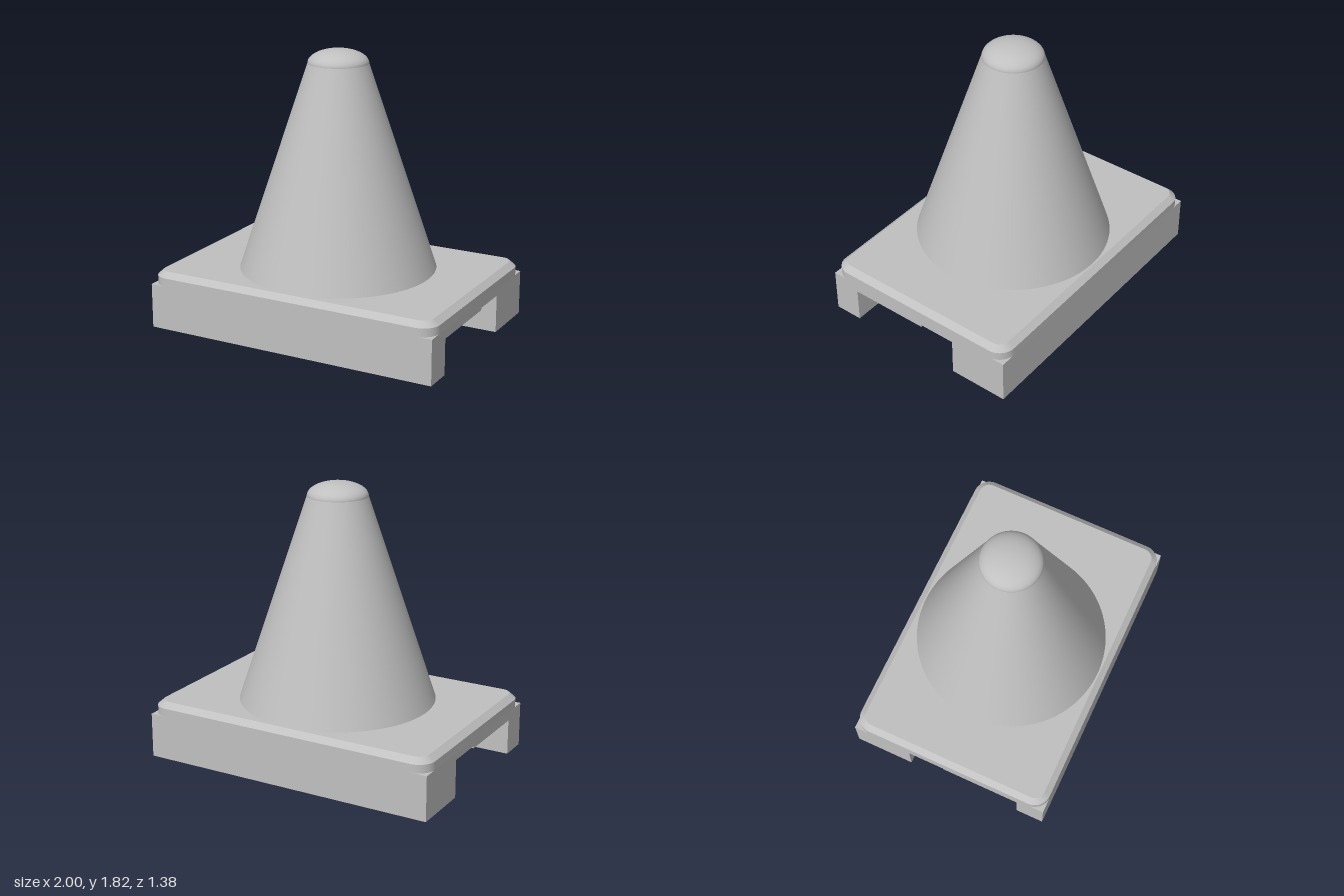
import * as THREE from 'three';
import { toCreasedNormals } from 'three/addons/utils/BufferGeometryUtils.js';

const HALF_X = 1, HALF_Z = 0.69, CORNER = 0.11;
const BLOCK_TOP = 0.295, SLAB_TOP = 0.385;

// Points of a rounded rectangle at height y, pulled in by inset
function roundedRing(y, inset, steps = 12) {
  const r = CORNER - inset, points = [];
  const corners = [[1, 1], [-1, 1], [-1, -1], [1, -1]];
  corners.forEach(([sx, sz], q) => {
    for (let i = 0; i <= steps; i++) {
      const a = (q + i / steps) * Math.PI / 2;
      points.push([
        sx * (HALF_X - CORNER) + r * Math.cos(a),
        y,
        sz * (HALF_Z - CORNER) + r * Math.sin(a),
      ]);
    }
  });
  return points;
}

// Slab with rounded corners and a bevelled upper edge
function slabGeometry() {
  const rings = [roundedRing(BLOCK_TOP, 0), roundedRing(0.35, 0), roundedRing(SLAB_TOP, 0.04)];
  const n = rings[0].length, top = rings.length - 1;
  const positions = [];
  for (let i = 0; i < n; i++) {
    const j = (i + 1) % n;
    for (let k = 0; k < top; k++) {
      const a = rings[k][i], b = rings[k][j], c = rings[k + 1][j], d = rings[k + 1][i];
      positions.push(...a, ...d, ...c, ...a, ...c, ...b);
    }
    positions.push(0, SLAB_TOP, 0, ...rings[top][j], ...rings[top][i]);
  }
  const geometry = new THREE.BufferGeometry();
  geometry.setAttribute('position', new THREE.Float32BufferAttribute(positions, 3));
  return toCreasedNormals(geometry, 0.4);
}

// Square-cornered block with a stepped channel running its whole length
function blockGeometry() {
  const profile = [
    [-0.69, 0], [-0.5, 0], [-0.5, 0.235], [0.04, 0.235], [0.04, 0.25],
    [0.29, 0.25], [0.29, 0], [0.69, 0], [0.69, BLOCK_TOP], [-0.69, BLOCK_TOP],
  ];
  const shape = new THREE.Shape(profile.map(([u, v]) => new THREE.Vector2(u, v)));
  const geometry = new THREE.ExtrudeGeometry(shape, { depth: 2 * HALF_X, bevelEnabled: false });
  return geometry.rotateY(Math.PI / 2).translate(-HALF_X, 0, 0);
}

export function createModel() {
  const group = new THREE.Group();
  const grey = new THREE.MeshStandardMaterial({ color: 0xc0c0c0 });
  grey.name = 'grey';

  const add = (name, geometry) => {
    const mesh = new THREE.Mesh(geometry, grey);
    mesh.name = name;
    group.add(mesh);
  };

  add('channelBlock', blockGeometry());
  add('bevelledSlab', slabGeometry());

  // Tapered cone
  const cone = new THREE.CylinderGeometry(0.195, 0.64, 1.725 - SLAB_TOP, 96, 1, true);
  add('cone', cone.translate(0, (1.725 + SLAB_TOP) / 2, 0));

  // Shallow dome closing the cone
  const dome = new THREE.SphereGeometry(1, 96, 16, 0, Math.PI * 2, 0, Math.PI / 2);
  add('domeTip', dome.scale(0.195, 0.09, 0.195).translate(0, 1.725, 0));

  return group;
}
